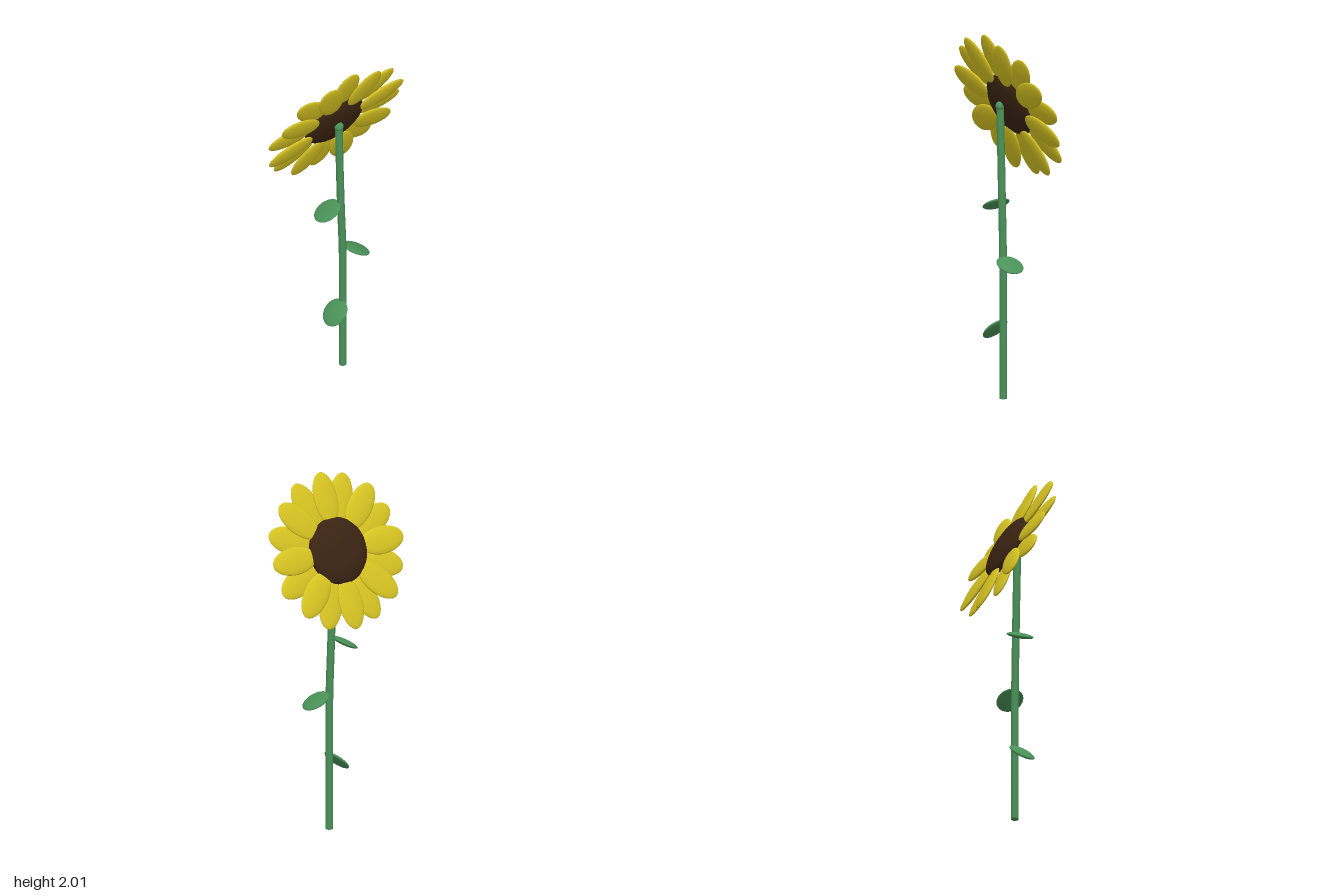
import * as THREE from 'three';

const material = (name, color) => {
  const m = new THREE.MeshStandardMaterial({ color });
  m.name = name;
  return m;
};

// Smooth ellipsoid with the given half sizes
function ellipsoid(name, mat, rx, ry, rz) {
  const mesh = new THREE.Mesh(new THREE.SphereGeometry(1, 32, 20).scale(rx, ry, rz), mat);
  mesh.name = name;
  return mesh;
}

export function createModel() {
  const yellow = material('petal yellow', 0xd6c322);
  const brown = material('seed brown', 0x3a2312);
  const green = material('stem green', 0x4a9158);
  const model = new THREE.Group();
  model.name = 'sunflower';

  // Stem, bending slightly towards the flower head, with closed ends
  const path = new THREE.CatmullRomCurve3([
    [0.048, 0, -0.019], [0.048, 0.4, -0.019], [0.048, 0.75, -0.018],
    [0.047, 1.1, -0.006], [0.048, 1.4, 0.003], [0.05, 1.6, 0.008],
  ].map((p) => new THREE.Vector3(...p)));
  const stem = new THREE.Mesh(new THREE.TubeGeometry(path, 40, 0.021, 20), green);
  stem.name = 'stem';
  const stemBase = new THREE.Mesh(new THREE.CircleGeometry(0.021, 20).rotateX(Math.PI / 2), green);
  stemBase.name = 'stemBase';
  stemBase.position.copy(path.getPoint(0));
  const stemTip = ellipsoid('stemTip', green, 0.026, 0.026, 0.026);
  stemTip.position.set(0.05, 1.605, 0.008);
  model.add(stem, stemBase, stemTip);

  // Leaves: centre, downward pitch and yaw
  [
    [0.032, 1.056, 0.072, 0.49, -0.15],
    [0.06, 0.747, -0.1, 0.46, Math.PI - 0.1],
    [0.06, 0.377, 0.041, 0.77, 0.15],
  ].forEach(([x, y, z, pitch, yaw]) => {
    const leaf = ellipsoid('leaf', green, 0.073, 0.016, 0.081);
    leaf.position.set(x, y, z);
    leaf.rotation.set(pitch, yaw, 0, 'YXZ');
    model.add(leaf);
  });

  // Flower head: local +y is its face, local +x points to its top
  const head = new THREE.Group();
  head.name = 'flowerHead';
  head.position.set(0, 1.605, -0.002);
  head.rotation.z = 1.165;
  const disc = ellipsoid('seedDisc', brown, 0.185, 0.05, 0.185);
  disc.position.y = 0.01;
  head.add(disc);

  // Two staggered rings of eight petals
  for (let i = 0; i < 16; i++) {
    const petal = ellipsoid('petal', yellow, 0.143, 0.017, 0.076);
    petal.position.set(0.293, i % 2 ? -0.012 : 0.012, 0);
    const arm = new THREE.Group();
    arm.name = i % 2 ? 'backPetal' : 'frontPetal';
    arm.rotation.y = (i * Math.PI) / 8;
    arm.add(petal);
    head.add(arm);
  }
  model.add(head);
  return model;
}
